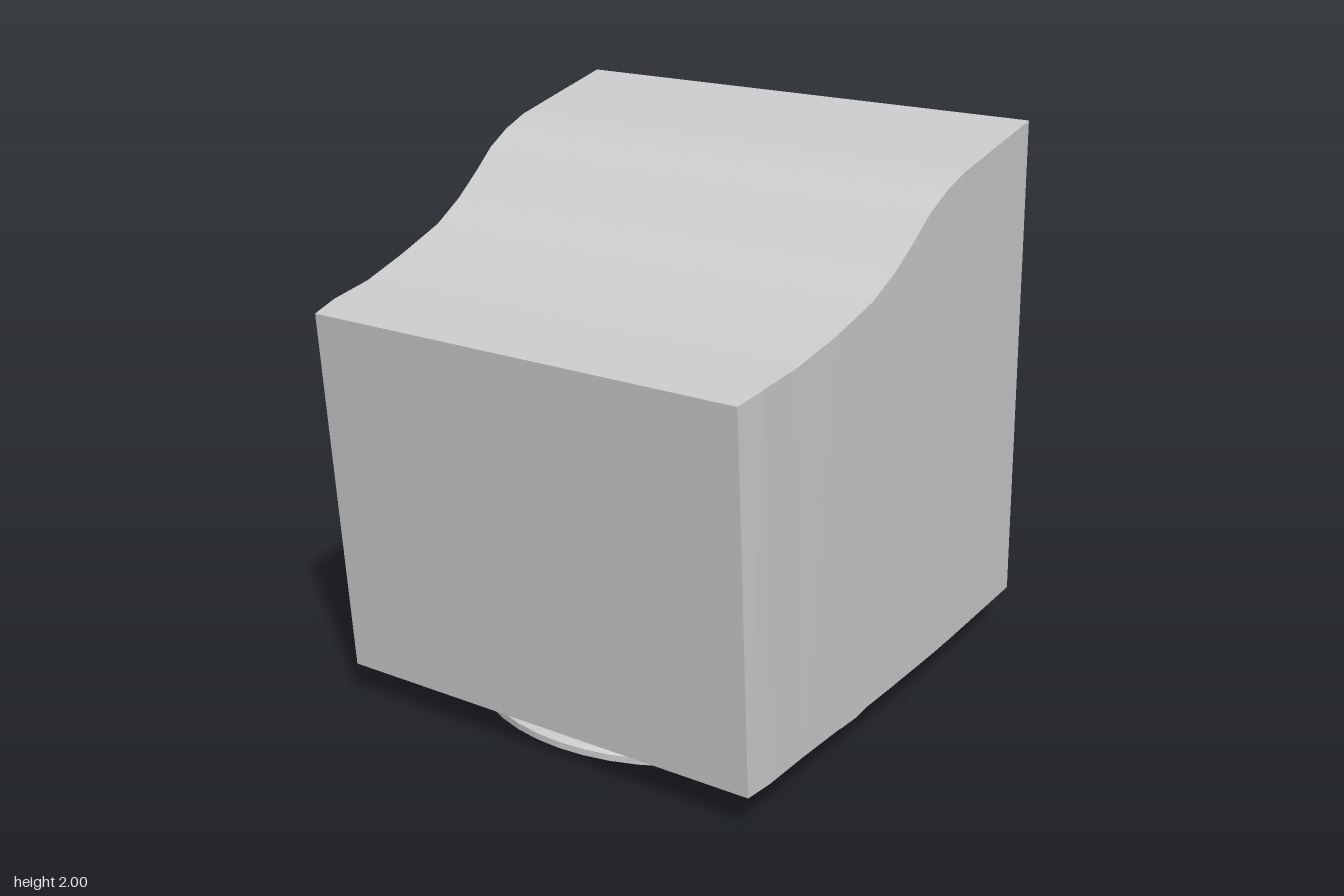
import * as THREE from 'three';

const material = new THREE.MeshStandardMaterial({ color: 0xcccccc, flatShading: true });

// Four-cornered section: half width, height and depth of its top and bottom edges
function section(wt, yt, zt, wb, yb, zb) {
  return [[wt, yt, zt], [-wt, yt, zt], [-wb, yb, zb], [wb, yb, zb]];
}

// Skin a row of sections running front to back, with optional end caps
function loft(name, rings, frontCap, backCap) {
  const pos = [];
  const quad = (a, b, c, d) => [a, b, c, a, c, d].forEach((p) => pos.push(...p));
  for (let i = 0; i < rings.length - 1; i++) {
    const a = rings[i], b = rings[i + 1];
    for (let k = 0; k < 4; k++) {
      const n = (k + 1) % 4;
      quad(a[k], b[k], b[n], a[n]);
    }
  }
  if (frontCap) quad(...rings[0]);
  if (backCap) quad(...[...rings[rings.length - 1]].reverse());
  const geometry = new THREE.BufferGeometry();
  geometry.setAttribute('position', new THREE.Float32BufferAttribute(pos, 3));
  geometry.computeVertexNormals();
  const mesh = new THREE.Mesh(geometry, material);
  mesh.name = name;
  return mesh;
}

export function createModel() {
  const group = new THREE.Group();
  group.name = 'monitor';

  // Housing: z, top height and half width along the curved top
  const profile = [
    [0.94, 1.46, 0.817], [0.83, 1.48, 0.834], [0.65, 1.5, 0.845], [0.45, 1.545, 0.862],
    [0.24, 1.605, 0.875], [0.11, 1.67, 0.884], [0, 1.745, 0.89], [-0.1, 1.82, 0.896],
    [-0.2, 1.87, 0.901], [-0.31, 1.907, 0.905], [-0.8, 2, 0.915],
  ];
  const housing = profile.map(([z, y, w]) => {
    const t = (0.94 - z) / 1.74;
    return section(w, y, z, w - 0.012 * t, 0.13 + 0.053 * t, 0.85 - 1.755 * t);
  });
  group.add(loft('housing', housing, true, false));

  // Bezel: chamfered edge, flat frame and recess walls on the tilted screen side
  const tilt = (y) => -0.835 - (1.975 - y) * 0.0595;
  const frame = (w, top, bottom, inset = 0) =>
    section(w, top, tilt(top) + inset, w, bottom, tilt(bottom) + inset);
  const recess = frame(0.735, 1.84, 0.37, 0.04);
  group.add(loft('bezel', [
    housing[housing.length - 1],
    frame(0.88, 1.975, 0.21),
    frame(0.735, 1.84, 0.37),
    recess,
  ], false, false));

  // Screen at the bottom of the recess
  group.add(loft('screen', [recess], false, true));

  // Round swivel stand
  const standProfile = [
    [0, 0], [0.75, 0], [0.75, 0.024], [0.735, 0.034], [0.29, 0.1],
    [0.235, 0.118], [0.215, 0.17], [0, 0.17],
  ].map(([r, y]) => new THREE.Vector2(r, y));
  const stand = new THREE.Mesh(new THREE.LatheGeometry(standProfile, 48), material);
  stand.name = 'stand';
  group.add(stand);

  return group;
}
